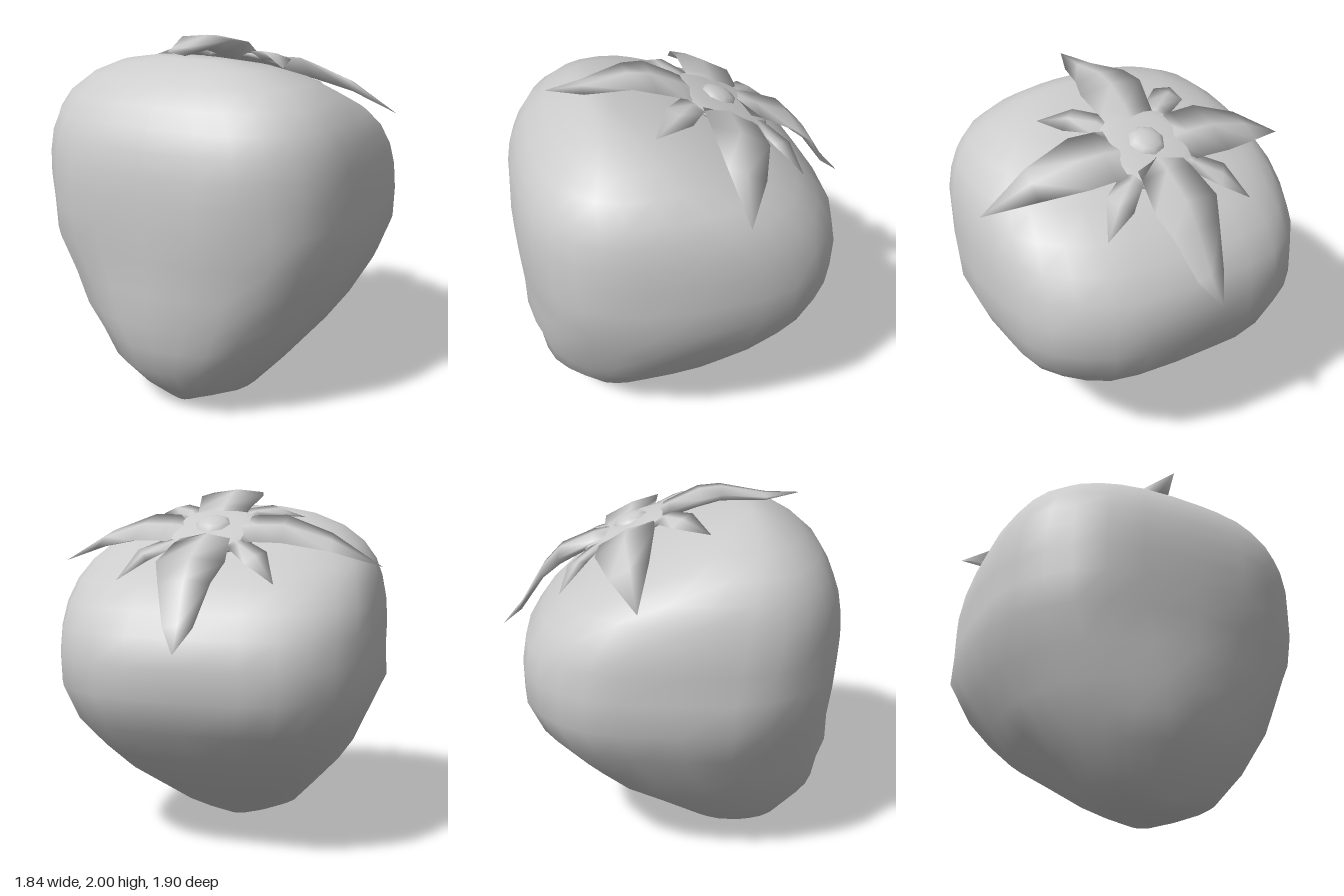
import * as THREE from 'three';
import { mergeVertices } from 'three/addons/utils/BufferGeometryUtils.js';

const material = new THREE.MeshStandardMaterial({ color: 0xcccccc });
const SLOPE = 0.45; // the leaf crown leans towards the back
const TILT = -Math.atan(SLOPE);

// Skins a list of closed point rings; end rings collapsed to a point act as caps.
function loft(rings) {
  const n = rings[0].length;
  const index = [];
  for (let i = 0; i < rings.length - 1; i++) {
    for (let j = 0; j < n; j++) {
      const a = i * n + j, b = i * n + (j + 1) % n;
      index.push(a, b, b + n, a, b + n, a + n);
    }
  }
  const geometry = new THREE.BufferGeometry();
  geometry.setAttribute('position', new THREE.Float32BufferAttribute(rings.flat(2), 3));
  geometry.setIndex(index);
  const merged = mergeVertices(geometry, 1e-4);
  merged.computeVertexNormals();
  return merged;
}

function addMesh(parent, name, geometry) {
  const mesh = new THREE.Mesh(geometry, material);
  mesh.name = name;
  parent.add(mesh);
  return mesh;
}

// Fruit: level slices of y, back z, front z, half width, squareness of back and front half
const SLICES = [
  [0.0, 0.42, 0.42, 0, 2, 2],
  [0.015, 0.25, 0.6, 0.09, 2.6, 2],
  [0.06, 0.17, 0.65, 0.22, 2.8, 2],
  [0.12, 0.09, 0.71, 0.36, 2.8, 2],
  [0.28, -0.18, 0.85, 0.51, 2.7, 2],
  [0.42, -0.4, 0.88, 0.63, 2.7, 2.1],
  [0.56, -0.57, 0.91, 0.73, 2.7, 2.2],
  [0.74, -0.73, 0.92, 0.82, 2.8, 2.4],
  [0.93, -0.81, 0.93, 0.9, 2.8, 2.6],
  [1.1, -0.82, 0.94, 0.9, 2.8, 2.7],
  [1.25, -0.79, 0.95, 0.9, 2.8, 2.7],
  [1.38, -0.7, 0.94, 0.89, 2.8, 2.7],
  [1.5, -0.58, 0.92, 0.86, 2.8, 2.7],
  [1.6, -0.42, 0.88, 0.82, 2.7, 2.6],
  [1.7, -0.21, 0.82, 0.74, 2.5, 2.5],
  [1.79, -0.04, 0.72, 0.62, 2.3, 2.4],
  [1.86, 0.17, 0.61, 0.44, 2.2, 2.3],
  [1.9, 0.36, 0.51, 0.22, 2.2, 2.2],
  [1.905, 0.44, 0.44, 0, 2, 2],
];

function fruitGeometry() {
  const sides = 28;
  const power = (v, e) => Math.sign(v) * Math.abs(v) ** e;
  return loft(SLICES.map(([y, back, front, half, squareBack, squareFront]) => {
    const ring = [];
    for (let j = 0; j < sides; j++) {
      const a = (j / sides) * Math.PI * 2;
      const square = Math.cos(a) > 0 ? squareFront : squareBack;
      // gentle lumps, fading out towards the top
      const fade = THREE.MathUtils.clamp((1.5 - y) * 1.5, 0, 1);
      const lump = 1 + 0.015 * fade * Math.sin(5 * a + 9 * y) * Math.sin(4 * a - 13 * y);
      ring.push([
        half * lump * power(Math.sin(a), 2 / square),
        y,
        (front + back) / 2 + ((front - back) / 2) * lump * power(Math.cos(a), 2 / square),
      ]);
    }
    return ring;
  }));
}

// Leaf: spine points of x, y, z, half width; the section is a keeled lens
function leafGeometry(spine) {
  const first = spine[0], last = spine[spine.length - 1];
  const length = Math.hypot(last[0] - first[0], last[2] - first[2]);
  const ax = -(last[2] - first[2]) / length, az = (last[0] - first[0]) / length;
  const rings = spine.map(([x, y, z, w]) => {
    const side = (s) => [x + s * ax * w, y + s * az * w * SLOPE, z + s * az * w];
    return [side(-1), [x, y + w * 0.12, z], side(1), [x, y - w * 0.42, z]];
  });
  rings.unshift(Array(4).fill(first.slice(0, 3)));
  return loft(rings);
}

const FRONT_LEAF = [
  [0, 1.82, -0.12, 0.13], [0, 1.89, 0.0, 0.15], [0, 1.96, 0.16, 0.185],
  [0, 1.98, 0.28, 0.15], [0.01, 1.95, 0.52, 0.08], [0.02, 1.96, 0.71, 0],
];
const BACK_LEAF = [
  [0, 1.75, -0.32, 0.13], [0, 1.72, -0.42, 0.15], [0, 1.63, -0.61, 0.185],
  [0, 1.53, -0.71, 0.14], [-0.01, 1.32, -0.84, 0.08], [-0.02, 1.2, -0.95, 0],
];
const SIDE_LEAF = [
  [0.12, 1.78, -0.23, 0.14], [0.25, 1.79, -0.225, 0.15], [0.4, 1.79, -0.225, 0.155],
  [0.65, 1.72, -0.19, 0.1], [0.92, 1.59, -0.14, 0],
];
const FRONT_SMALL_LEAF = [
  [0.12, 1.83, -0.1, 0.06], [0.19, 1.87, -0.02, 0.07], [0.31, 1.885, 0.07, 0.08], [0.42, 1.84, 0.22, 0],
];
const BACK_SMALL_LEAF = [
  [0.12, 1.74, -0.33, 0.06], [0.19, 1.71, -0.39, 0.06], [0.31, 1.65, -0.48, 0.075], [0.43, 1.52, -0.57, 0],
];

export function createModel() {
  const model = new THREE.Group();
  model.name = 'strawberry';
  addMesh(model, 'fruit', fruitGeometry());

  // Leaf crown
  const crown = new THREE.Group();
  crown.name = 'leafCrown';
  model.add(crown);
  addMesh(crown, 'frontLeaf', leafGeometry(FRONT_LEAF));
  addMesh(crown, 'backLeaf', leafGeometry(BACK_LEAF));
  for (const [side, s] of [['left', 1], ['right', -1]]) {
    const mirror = (spine) => spine.map(([x, y, z, w]) => [s * x, y, z, w]);
    addMesh(crown, `${side}Leaf`, leafGeometry(mirror(SIDE_LEAF)));
    addMesh(crown, `${side}FrontSmallLeaf`, leafGeometry(mirror(FRONT_SMALL_LEAF)));
    addMesh(crown, `${side}BackSmallLeaf`, leafGeometry(mirror(BACK_SMALL_LEAF)));
  }

  // Flattened cushion joining the leaves
  const hub = addMesh(crown, 'hub', new THREE.SphereGeometry(0.28, 16, 8));
  hub.scale.y = 0.14;
  hub.position.set(0, 1.77, -0.22);
  hub.rotation.x = TILT;

  // Stem nub
  const stem = addMesh(crown, 'stem', new THREE.SphereGeometry(0.105, 8, 4, 0, Math.PI * 2, 0, Math.PI / 2));
  stem.scale.y = 0.5;
  stem.position.set(0, 1.795, -0.21);
  stem.rotation.x = TILT;
  return model;
}
